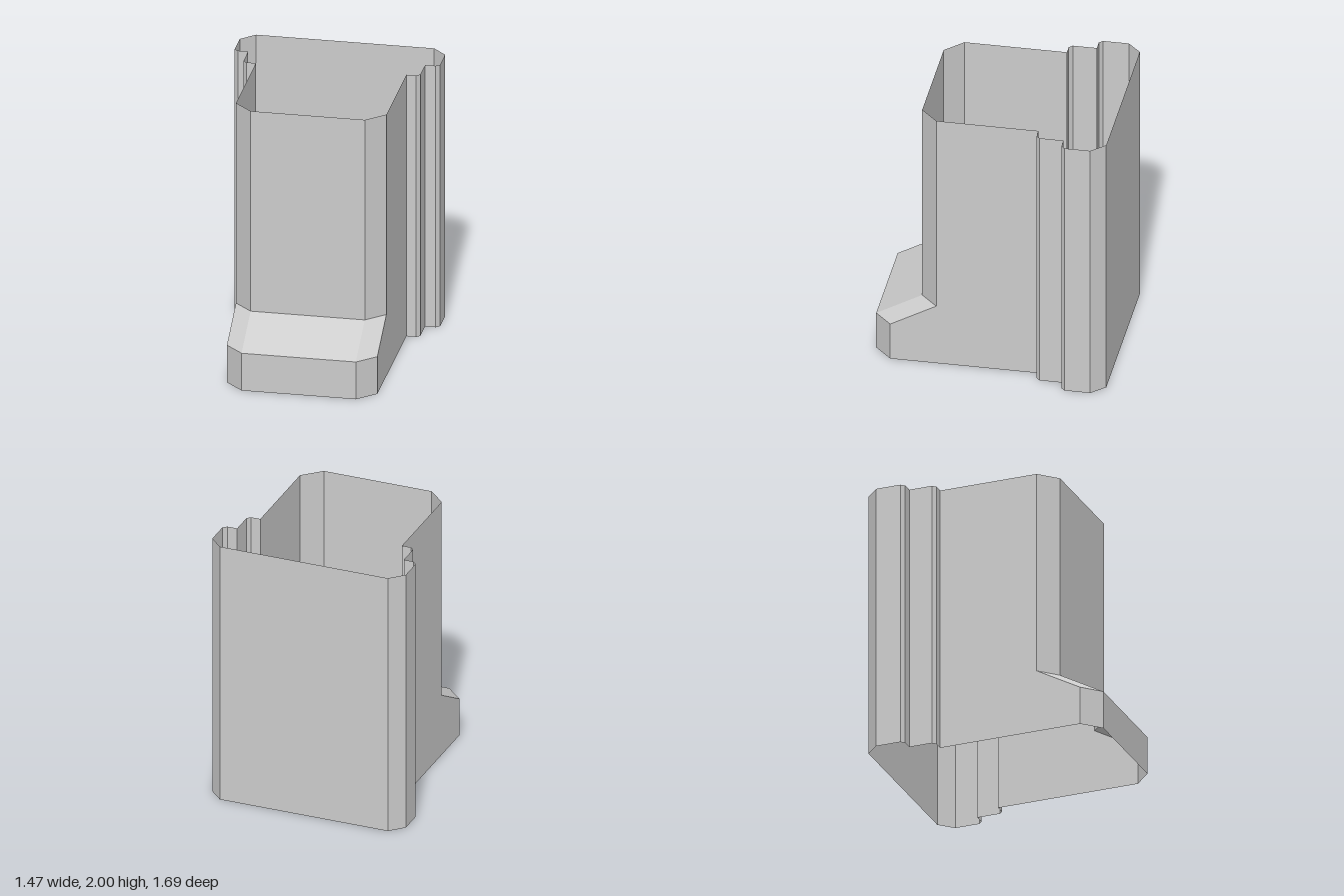
import * as THREE from 'three';

const material = new THREE.MeshStandardMaterial({ color: 0xcccccc, flatShading: true, side: THREE.DoubleSide });

// Sheet lofted through rows of [x, y, z] points, rows running bottom to top
function sheet(name, rows) {
  const n = rows[0].length, index = [];
  for (let r = 0; r < rows.length - 1; r++) {
    for (let i = 0; i < n - 1; i++) {
      const a = r * n + i, b = a + 1, c = b + n, d = a + n;
      index.push(a, b, c, a, c, d);
    }
  }
  let geometry = new THREE.BufferGeometry();
  geometry.setAttribute('position', new THREE.Float32BufferAttribute(rows.flat(2), 3));
  geometry.setIndex(index);
  geometry = geometry.toNonIndexed();
  geometry.computeVertexNormals();
  const mesh = new THREE.Mesh(geometry, material);
  mesh.name = name;
  return mesh;
}

const HEIGHT = 2;
// Heights with the forward offset of the front: foot, foot top, slope top, rim
const levels = [[0, 0.33], [0.285, 0.33], [0.47, 0], [HEIGHT, 0]];

// Plan outlines as [x, z]
const front = [[-0.54, 0.39], [-0.41, 0.515], [0.41, 0.515], [0.54, 0.39]];
const sideBack = -0.343;
const halfBack = [
  [0.54, sideBack], [0.61, sideBack], [0.635, -0.368], // first step
  [0.635, -0.54], [0.71, -0.54], [0.737, -0.566],      // second step
  [0.737, -0.75], [0.64, -0.847],                      // rear chamfer
];
const back = [...halfBack, ...halfBack.map(([x, z]) => [-x, z]).reverse()];

export function createModel() {
  const group = new THREE.Group();
  group.name = 'openShell';

  // Chamfered front with the projecting foot
  group.add(sheet('frontPanel', levels.map(([y, dz]) => front.map(([x, z]) => [x, y, z + dz]))));

  // Flat side walls that follow the foot's profile
  const walls = levels.map(([y, dz]) => [[0.54, y, 0.39 + dz], [0.54, y, sideBack]]);
  group.add(sheet('leftWall', walls));
  group.add(sheet('rightWall', walls.map(row => row.map(([x, y, z]) => [-x, y, z]).reverse())));

  // Stepped rear shell
  group.add(sheet('steppedBack', [0, HEIGHT].map(y => back.map(([x, z]) => [x, y, z]))));

  return group;
}
